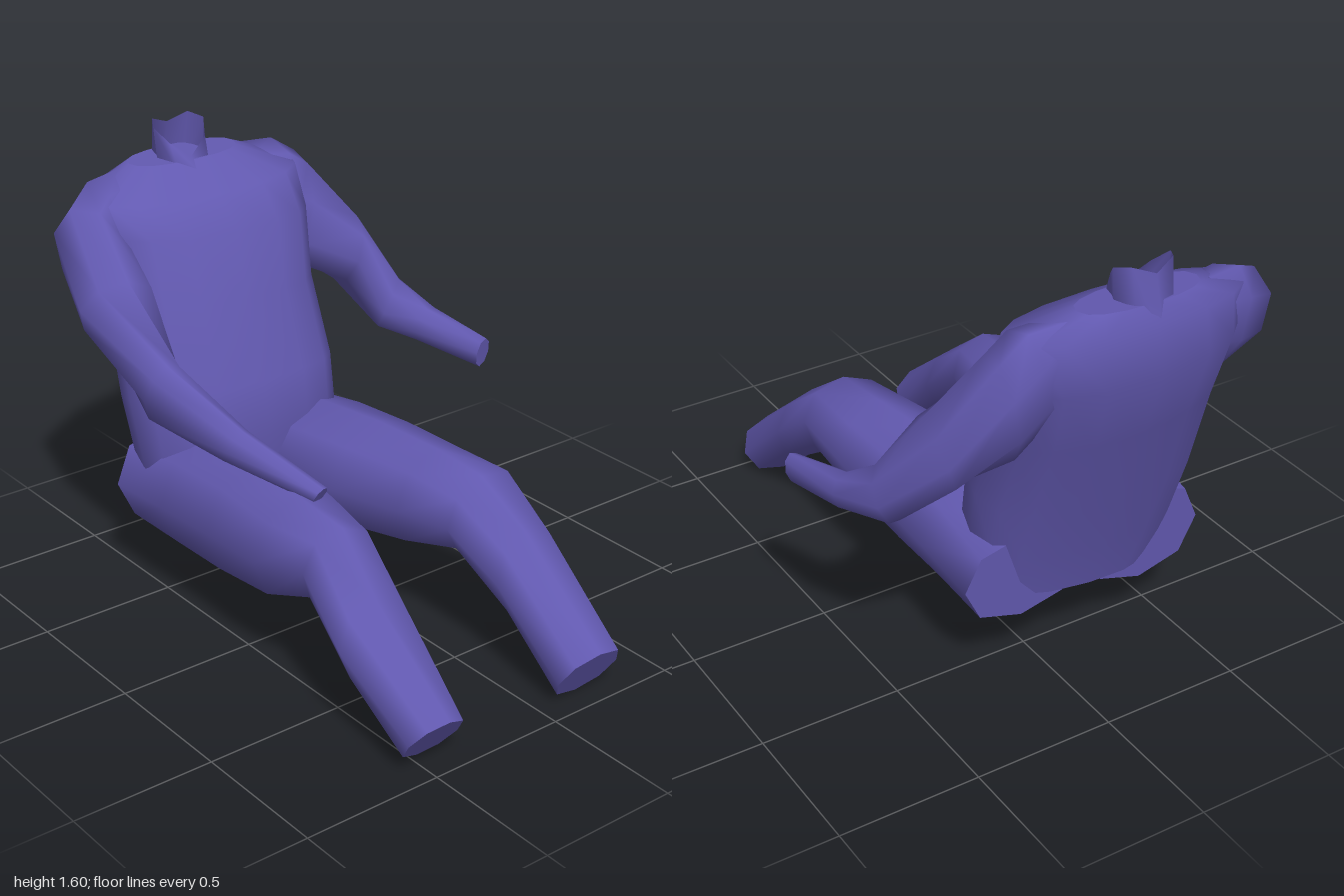
import * as THREE from 'three';

const cloth = new THREE.MeshStandardMaterial({ color: 0x6259b0, side: THREE.DoubleSide });
cloth.name = 'violet cloth';

const V = (a) => new THREE.Vector3(...a);

// Skin over rings, each given as [upper point, lower point, half width].
function loft(rings, sides, { power = 1, capStart = true, capEnd = true } = {}) {
  const mids = rings.map(([a, b]) => V(a).add(V(b)).multiplyScalar(0.5));
  const pos = [], idx = [];
  rings.forEach(([a, b, half], i) => {
    const t = mids[Math.min(i + 1, mids.length - 1)].clone().sub(mids[Math.max(i - 1, 0)]);
    const v = V(a).sub(V(b)).multiplyScalar(0.5);
    const u = t.cross(v).setLength(half);
    for (let j = 0; j < sides; j++) {
      const ang = (j / sides) * Math.PI * 2;
      const c = Math.cos(ang), s = Math.sin(ang);
      const p = mids[i].clone()
        .addScaledVector(u, Math.sign(c) * Math.abs(c) ** power)
        .addScaledVector(v, Math.sign(s) * Math.abs(s) ** power);
      pos.push(p.x, p.y, p.z);
    }
  });
  for (let i = 0; i < rings.length - 1; i++) {
    for (let j = 0; j < sides; j++) {
      const a = i * sides + j, b = i * sides + ((j + 1) % sides);
      idx.push(a, a + sides, b + sides, a, b + sides, b);
    }
  }
  // Caps use their own vertices so the rim stays sharp.
  const cap = (i, flip) => {
    const first = pos.length / 3;
    pos.push(...pos.slice(i * sides * 3, (i + 1) * sides * 3));
    pos.push(...mids[i].toArray());
    for (let j = 0; j < sides; j++) {
      const p = first + j, q = first + ((j + 1) % sides), m = first + sides;
      idx.push(...(flip ? [m, q, p] : [m, p, q]));
    }
  };
  if (capStart) cap(0, false);
  if (capEnd) cap(rings.length - 1, true);
  const g = new THREE.BufferGeometry();
  g.setAttribute('position', new THREE.Float32BufferAttribute(pos, 3));
  g.setIndex(idx);
  g.computeVertexNormals();
  return g;
}

export function createModel() {
  const model = new THREE.Group();
  model.name = 'seatedFigure';
  const add = (name, geometry) => {
    const mesh = new THREE.Mesh(geometry, cloth);
    mesh.name = name;
    model.add(mesh);
  };

  // Torso leaning back: rings run from the seat to the collar (back, front).
  add('torso', loft([
    [[-0.15, 0.29, -0.66], [-0.15, 0.32, -0.36], 0.34],
    [[-0.17, 0.46, -0.71], [-0.17, 0.58, -0.31], 0.40],
    [[-0.17, 0.68, -0.79], [-0.17, 0.78, -0.34], 0.41],
    [[-0.16, 1.00, -0.90], [-0.16, 1.05, -0.45], 0.40],
    [[-0.14, 1.26, -1.00], [-0.14, 1.27, -0.52], 0.42],
    [[-0.14, 1.42, -0.97], [-0.14, 1.38, -0.62], 0.42],
    [[-0.14, 1.48, -0.94], [-0.14, 1.47, -0.77], 0.22],
  ], 16, { power: 0.85 }));

  // Open neck with a notch at the front.
  const neck = loft([
    [[-0.15, 1.36, -0.98], [-0.15, 1.43, -0.72], 0.09],
    [[-0.15, 1.57, -0.93], [-0.15, 1.48, -0.78], 0.105],
  ], 8, { capStart: false, capEnd: false });
  const p = neck.attributes.position;
  for (let j = 0; j < 8; j++) {
    p.setY(8 + j, p.getY(8 + j) + 0.06 * Math.abs(Math.cos((j / 8) * Math.PI * 2)));
  }
  neck.computeVertexNormals();
  add('neck', neck);

  // Left arm, held out to the side.
  add('leftArm', loft([
    [[0.10, 1.46, -0.87], [0.08, 1.08, -0.72], 0.11],
    [[0.25, 1.45, -0.86], [0.20, 1.02, -0.71], 0.13],
    [[0.36, 1.38, -0.87], [0.26, 1.00, -0.73], 0.14],
    [[0.51, 1.12, -0.76], [0.41, 0.93, -0.62], 0.13],
    [[0.62, 0.90, -0.57], [0.48, 0.76, -0.52], 0.10],
    [[0.65, 0.83, -0.40], [0.57, 0.72, -0.40], 0.06],
    [[0.67, 0.79, -0.13], [0.65, 0.68, -0.14], 0.035],
  ], 8));

  // Right arm, reaching to the knee.
  add('rightArm', loft([
    [[-0.40, 1.46, -0.87], [-0.38, 1.08, -0.72], 0.10],
    [[-0.54, 1.45, -0.84], [-0.48, 1.04, -0.70], 0.12],
    [[-0.65, 1.39, -0.78], [-0.53, 1.06, -0.68], 0.13],
    [[-0.685, 1.17, -0.56], [-0.53, 1.00, -0.58], 0.14],
    [[-0.60, 0.97, -0.29], [-0.58, 0.74, -0.37], 0.085],
    [[-0.48, 0.79, -0.03], [-0.50, 0.67, -0.09], 0.06],
    [[-0.37, 0.66, 0.26], [-0.38, 0.61, 0.24], 0.04],
  ], 8));

  // Legs: hip, thigh, knee, shin, ankle.
  add('leftLeg', loft([
    [[0.11, 0.57, -0.65], [0.10, 0.24, -0.63], 0.21],
    [[0.09, 0.63, -0.35], [0.08, 0.24, -0.35], 0.23],
    [[0.11, 0.65, -0.05], [0.10, 0.24, -0.10], 0.21],
    [[0.14, 0.64, 0.22], [0.14, 0.28, 0.20], 0.18],
    [[0.15, 0.62, 0.45], [0.18, 0.35, 0.42], 0.165],
    [[0.18, 0.48, 0.64], [0.19, 0.19, 0.66], 0.14],
    [[0.19, 0.18, 1.00], [0.18, 0.00, 0.90], 0.135],
  ], 8, { power: 0.9 }));

  add('rightLeg', loft([
    [[-0.38, 0.57, -0.65], [-0.38, 0.21, -0.63], 0.22],
    [[-0.39, 0.63, -0.35], [-0.38, 0.21, -0.35], 0.22],
    [[-0.41, 0.65, -0.05], [-0.39, 0.21, -0.10], 0.20],
    [[-0.44, 0.64, 0.22], [-0.42, 0.26, 0.20], 0.18],
    [[-0.44, 0.62, 0.45], [-0.45, 0.35, 0.42], 0.135],
    [[-0.47, 0.46, 0.66], [-0.48, 0.19, 0.68], 0.145],
    [[-0.45, 0.18, 1.00], [-0.50, 0.03, 0.90], 0.12],
  ], 8, { power: 0.9 }));

  return model;
}
